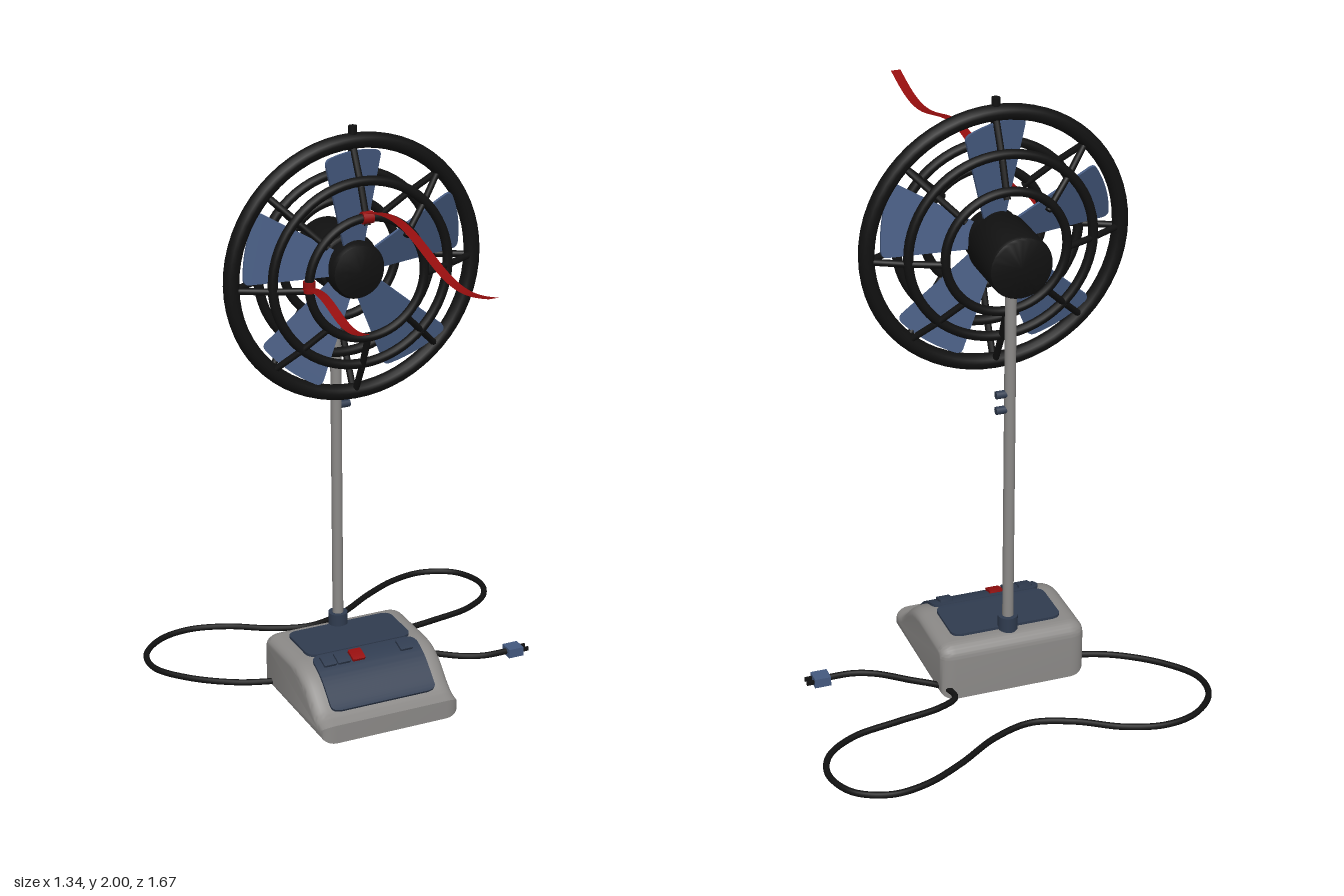
import * as THREE from 'three';
import { toCreasedNormals } from 'three/addons/utils/BufferGeometryUtils.js';

const material = (name, color, side = THREE.FrontSide) => {
  const m = new THREE.MeshStandardMaterial({ color, side });
  m.name = name;
  return m;
};
const V = (x, y, z) => new THREE.Vector3(x, y, z);
const V2 = (x, y) => new THREE.Vector2(x, y);

const CX = -0.08, CY = 1.53, CZ = -0.135; // centre of the fan head

export function createModel() {
  const black = material('black', 0x111111);
  const grey = material('grey', 0x8c8a88);
  const navy = material('navy', 0x303c50);
  const blue = material('blue', 0x455a80);
  const red = material('red', 0x950e0e, THREE.DoubleSide);

  const model = new THREE.Group();
  const add = (name, geo, mat, x = 0, y = 0, z = 0, parent = model) => {
    const mesh = new THREE.Mesh(geo, mat);
    mesh.name = name;
    mesh.position.set(x, y, z);
    parent.add(mesh);
    return mesh;
  };

  // Base: side profile (z, y) extruded across x with a rounded bevel
  const BEVEL = 0.03;
  const slope = new THREE.CubicBezierCurve(V2(0.125, 0.04), V2(0.03, 0.05), V2(0.02, 0.165), V2(-0.11, 0.165));
  const body = new THREE.Shape();
  body.moveTo(-0.315, 0.03);
  body.lineTo(0.125, 0.03);
  body.lineTo(0.125, 0.04);
  body.bezierCurveTo(0.03, 0.05, 0.02, 0.165, -0.11, 0.165);
  body.lineTo(-0.295, 0.165);
  body.quadraticCurveTo(-0.315, 0.165, -0.315, 0.145);
  const bodyGeo = new THREE.ExtrudeGeometry(body, {
    depth: 0.4, bevelEnabled: true, bevelSize: BEVEL, bevelThickness: 0.05, bevelSegments: 6, curveSegments: 20,
  });
  bodyGeo.translate(0, 0, -0.2).rotateY(-Math.PI / 2);
  // rotateY maps the profile's z axis onto +z and the extrusion onto x
  add('base', toCreasedNormals(bodyGeo, 0.7), grey, CX);

  // Plates bent over the sloping top of the base
  const path = new THREE.CurvePath();
  path.add(slope);
  path.add(new THREE.LineCurve(V2(-0.11, 0.165), V2(-0.295, 0.165)));
  const bentPlate = (name, mat, x, width, t0, t1, height, corner = 0.004) => {
    const geo = new THREE.BoxGeometry(width, 1, 1, 1, 1, 32);
    const pos = geo.attributes.position;
    const length = (t1 - t0) * path.getLength();
    for (let i = 0; i < pos.count; i++) {
      const along = 0.5 - pos.getZ(i);
      const t = t0 + along * (t1 - t0);
      const p = path.getPointAt(t), d = path.getTangentAt(t);
      const lift = BEVEL + (pos.getY(i) > 0 ? height : -0.005);
      const edge = Math.min(corner, Math.min(along, 1 - along) * length);
      const inset = corner - Math.sqrt(Math.max(0, corner ** 2 - (corner - edge) ** 2));
      const px = pos.getX(i);
      pos.setXYZ(i, px - Math.sign(px) * inset, p.y - d.x * lift, p.x + d.y * lift);
    }
    add(name, toCreasedNormals(geo, 0.6), mat, x);
  };
  bentPlate('frontPanel', navy, CX, 0.38, 0.1, 0.555, 0.009, 0.03);
  bentPlate('topPanel', navy, CX, 0.38, 0.565, 0.97, 0.009, 0.03);
  [[-0.222, navy], [-0.172, navy], [-0.118, red], [0.058, navy]].forEach(([x, mat], i) =>
    bentPlate('button' + (i + 1), mat, x, 0.046, 0.44, 0.525, 0.018));

  // Pole with collar and two knobs
  add('pole', new THREE.CylinderGeometry(0.0185, 0.0185, 1.27, 24), grey, CX, 0.835, -0.28);
  add('poleCollar', new THREE.CylinderGeometry(0.033, 0.033, 0.055, 24), navy, CX, 0.218, -0.28);
  for (const y of [1.005, 1.06]) {
    const knob = new THREE.CylinderGeometry(0.013, 0.013, 0.035, 16).rotateZ(Math.PI / 2);
    add('poleKnob', knob, navy, CX + 0.03, y, -0.28);
  }

  // Fan head
  const head = new THREE.Group();
  head.name = 'fanHead';
  head.position.set(CX, CY, CZ);
  model.add(head);
  const turned = (pts) => toCreasedNormals(
    new THREE.LatheGeometry(pts.map((p) => V2(...p)), 40).rotateX(Math.PI / 2), 0.6);
  add('motor', turned([[0, -0.24], [0.092, -0.24], [0.1, -0.236], [0.104, -0.228], [0.104, -0.042],
    [0.1, -0.034], [0.092, -0.03], [0, -0.03]]), black, 0, 0, 0, head);
  add('hub', turned([[0, -0.035], [0.09, -0.035], [0.094, 0.03], [0.086, 0.045], [0.05, 0.056], [0, 0.06]]),
    black, 0, 0, 0, head);

  // Five pitched blades
  const blade = new THREE.Shape();
  blade.moveTo(-0.036, 0.06);
  blade.lineTo(-0.112, 0.355);
  blade.quadraticCurveTo(-0.118, 0.378, -0.095, 0.382);
  blade.quadraticCurveTo(0, 0.398, 0.1, 0.372);
  blade.quadraticCurveTo(0.12, 0.365, 0.113, 0.345);
  blade.lineTo(0.04, 0.06);
  const bladeGeo = new THREE.ExtrudeGeometry(blade, { depth: 0.008, bevelEnabled: false, curveSegments: 8 });
  bladeGeo.translate(0, 0, -0.004).rotateY(0.3);
  for (let i = 0; i < 5; i++) {
    add('blade', bladeGeo, blue, 0, 0, 0, head).rotation.z = (i * Math.PI * 2) / 5;
  }

  // Cage rings: one thick rim, two thinner rings on each side
  const ring = (name, radius, tube, z) =>
    add(name, new THREE.TorusGeometry(radius, tube, 12, 64), black, 0, 0, z, head);
  ring('cageRim', 0.421, 0.026, 0);
  for (const side of [1, -1]) {
    ring('middleRing', 0.305, 0.016, side * 0.06);
    ring('innerRing', 0.2, 0.015, side * 0.105);
  }

  // Bent cage spokes joining the rings
  const rod = (a, b, r) => {
    const dir = b.clone().sub(a);
    const geo = new THREE.CylinderGeometry(r, r, dir.length() + r, 10);
    geo.applyQuaternion(new THREE.Quaternion().setFromUnitVectors(V(0, 1, 0), dir.normalize()));
    const mid = a.clone().add(b).multiplyScalar(0.5);
    return geo.translate(mid.x, mid.y, mid.z);
  };
  for (const side of [1, -1]) {
    const outer = rod(V(0, 0.42, 0), V(0, 0.305, side * 0.06), 0.011);
    const inner = rod(V(0, 0.305, side * 0.06), V(0, 0.195, side * 0.105), 0.011);
    for (let i = 0; i < 8; i++) {
      for (const geo of [outer, inner]) {
        add('cageSpoke', geo, black, 0, -0.015, 0, head).rotation.z = (i * Math.PI) / 4;
      }
    }
  }
  add('topPeg', new THREE.CylinderGeometry(0.014, 0.014, 0.07, 12), black, 0, 0.435, 0, head);

  // Ribbons tied to the front inner ring, blowing forwards
  const ribbon = (x, y, length, wave) => {
    const geo = new THREE.PlaneGeometry(0.034, 1, 1, 32);
    const pos = geo.attributes.position;
    for (let i = 0; i < pos.count; i++) {
      const t = 0.5 - pos.getY(i);
      pos.setXYZ(i, pos.getX(i), wave * Math.sin(t * Math.PI * 2), t * length);
    }
    geo.computeVertexNormals();
    add('ribbon', geo, red, x, y, -0.03);
  };
  ribbon(CX, 1.745, 0.865, 0.04);
  ribbon(-0.295, 1.527, 0.455, 0.022);
  const knot = new THREE.CylinderGeometry(0.02, 0.02, 0.036, 16);
  add('ribbonKnot', knot, red, CX - 0.2, CY, -0.03);
  add('ribbonKnot', knot, red, CX, CY + 0.2, -0.03).rotation.z = Math.PI / 2;

  // Power cord lying behind the base, as (x, z) points
  const cord = [
    [-0.27, -0.265], [-0.33, -0.278], [-0.44, -0.32], [-0.575, -0.42], [-0.655, -0.535], [-0.645, -0.645],
    [-0.555, -0.735], [-0.44, -0.76], [-0.31, -0.725], [-0.175, -0.645], [-0.04, -0.605], [0.095, -0.645],
    [0.25, -0.745], [0.385, -0.812], [0.505, -0.828], [0.615, -0.775], [0.658, -0.665], [0.625, -0.565],
    [0.52, -0.49], [0.36, -0.455], [0.205, -0.425], [0.14, -0.385], [0.155, -0.315], [0.25, -0.235],
    [0.34, -0.165], [0.41, -0.137], [0.5, -0.133],
  ].map(([x, z]) => V(x, 0.035, z));
  add('powerCord', new THREE.TubeGeometry(new THREE.CatmullRomCurve3(cord), 220, 0.0105, 10), black);

  // Plug with two prongs
  add('plug', new THREE.BoxGeometry(0.055, 0.032, 0.052), blue, 0.52, 0.035, -0.133);
  for (const s of [-1, 1]) {
    add('plugProng', new THREE.BoxGeometry(0.03, 0.014, 0.007), black, 0.557, 0.035, -0.133 + s * 0.013);
  }
  return model;
}
